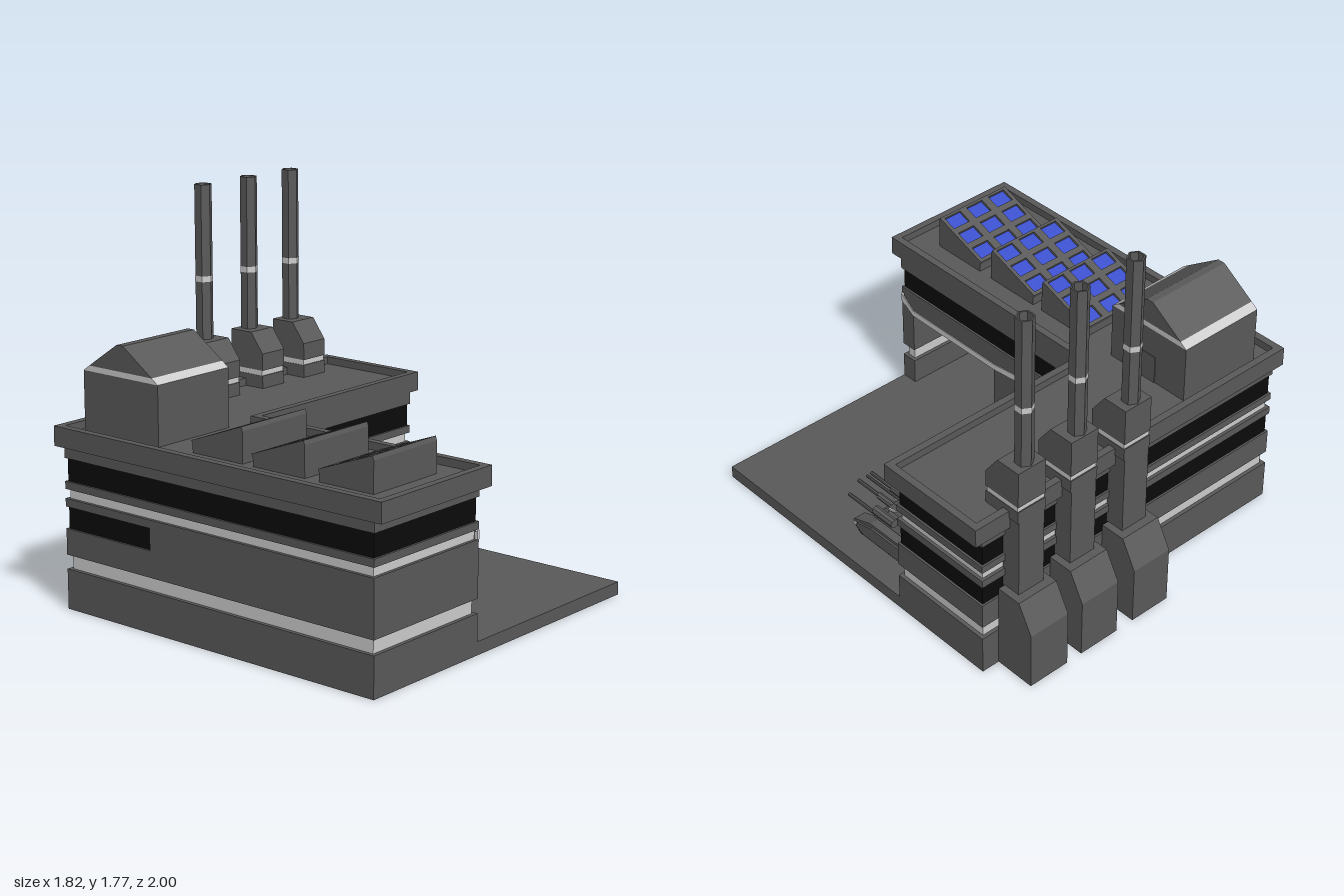
import * as THREE from 'three';

const mat = (color) => new THREE.MeshStandardMaterial({ color, flatShading: true, side: THREE.DoubleSide });
const wall = mat(0x595959), trim = mat(0xcccccc), black = mat(0x0b0b0b), blue = mat(0x3a4fcc);

function add(parent, name, geo, material, x = 0, y = 0, z = 0) {
  const m = new THREE.Mesh(geo, material);
  m.name = name;
  m.position.set(x, y, z);
  parent.add(m);
  return m;
}

// Box given by its lower and upper limits
function box(parent, name, material, x0, x1, y0, y1, z0, z1) {
  return add(parent, name, new THREE.BoxGeometry(x1 - x0, y1 - y0, z1 - z0), material,
    (x0 + x1) / 2, (y0 + y1) / 2, (z0 + z1) / 2);
}

const shapeOf = (pts) => new THREE.Shape(pts.map(([a, b]) => new THREE.Vector2(a, b)));

// Plan outline of [x, z] points raised from y0 to y1
function layer(parent, name, material, pts, y0, y1, hole) {
  const flip = (list) => list.map(([x, z]) => [x, -z]);
  const s = shapeOf(flip(pts));
  if (hole) s.holes.push(shapeOf(flip(hole)));
  const g = new THREE.ExtrudeGeometry(s, { depth: y1 - y0, bevelEnabled: false });
  return add(parent, name, g.rotateX(-Math.PI / 2), material, 0, y0, 0);
}

// Side profile of [z, y] points extended from x0 to x1
function profile(parent, name, material, pts, x0, x1) {
  const g = new THREE.ExtrudeGeometry(shapeOf(pts), { depth: x1 - x0, bevelEnabled: false });
  return add(parent, name, g.rotateY(-Math.PI / 2), material, x1, 0, 0);
}

// L-shaped plan; xi, zi is the inner corner
const ell = (x0, x1, z0, z1, xi, zi) => [[x0, z0], [x1, z0], [x1, zi], [xi, zi], [xi, z1], [x0, z1]];
const body = (d) => ell(-0.88 + d, 0.85 - d, -0.8 + d, 0.94 - d, -0.2 - d, -0.26 - d);
// Same plan with a hangar bay cut into the inner side of the wing
const bay = (d) => {
  const p = body(d);
  p.splice(4, 0, [-0.2 - d, 0.29 - d], [-0.64, 0.29 - d], [-0.64, 0.86 + d], [-0.2 - d, 0.86 + d]);
  return p;
};

function createBuilding() {
  const g = new THREE.Group();
  g.name = 'building';
  box(g, 'groundSlab', wall, -0.88, 0.85, 0, 0.06, -0.8, 0.94);
  layer(g, 'lowerWall', wall, bay(0), 0.06, 0.185);
  layer(g, 'lowerTrim', trim, bay(0.018), 0.185, 0.25);
  layer(g, 'middleWall', wall, bay(0), 0.25, 0.37);
  box(g, 'lowerWindowBand', black, -0.87, 0.84, 0.37, 0.47, -0.79, -0.27);
  const wing = [[-0.88, -0.29], [-0.2, -0.29], ...bay(0).slice(4)];
  layer(g, 'wingWall', wall, wing, 0.37, 0.47);
  layer(g, 'lintelWall', wall, body(0), 0.47, 0.507);
  layer(g, 'upperTrim', trim, body(0.015), 0.507, 0.55);
  layer(g, 'sillWall', wall, body(0), 0.55, 0.585);
  layer(g, 'upperWindowBand', black, body(0.01), 0.585, 0.69);
  layer(g, 'topWall', wall, body(0), 0.69, 0.745);
  // Trim that dips over the hangar bay
  box(g, 'bayFascia', wall, -0.225, -0.2, 0.507, 0.55, -0.26, 0.925);
  profile(g, 'bayTrim', trim, [[0.94, 0.507], [0.94, 0.548], [0.86, 0.485], [0.29, 0.485],
    [-0.26, 0.55], [-0.26, 0.512], [0.29, 0.455], [0.86, 0.455]], -0.21, -0.196);
  // Roof deck and parapet
  const edge = ell(-0.91, 0.91, -0.83, 1.0, -0.197, -0.26);
  layer(g, 'roofDeck', wall, edge, 0.745, 0.8);
  layer(g, 'parapet', wall, edge, 0.8, 0.835, ell(-0.875, 0.875, -0.795, 0.965, -0.232, -0.295));
  return g;
}

function createRoofHouse() {
  const g = new THREE.Group();
  g.name = 'roofHouse';
  const x0 = -0.785, x1 = -0.345;
  box(g, 'houseWalls', wall, x0, x1, 0.8, 1.07, -0.765, -0.32);
  profile(g, 'eavesTrim', trim, [[-0.765, 1.07], [-0.32, 1.07], [-0.355, 1.095], [-0.73, 1.095]], x0, x1);
  profile(g, 'gableRoof', wall, [[-0.73, 1.095], [-0.355, 1.095], [-0.523, 1.21], [-0.56, 1.21]], x0, x1);
  box(g, 'houseDoor', wall, x1 - 0.01, x1 + 0.004, 0.8, 0.935, -0.59, -0.495);
  return g;
}

// Wedge with a 3 x 3 grid of sunken panels on its slope
function createSolarRack(z0) {
  const g = new THREE.Group();
  g.name = 'solarRack';
  const w = 0.405, run = 0.283, rise = 0.105, len = Math.hypot(run, rise), t = 0.02;
  profile(g, 'rackBase', wall, [[0, 0.8], [run, 0.8], [run, 0.835 + rise], [0, 0.835]], -w / 2, w / 2);
  const slope = new THREE.Group();
  slope.name = 'panelSlope';
  const frame = shapeOf([[-w / 2, 0], [w / 2, 0], [w / 2, len], [-w / 2, len]]);
  for (let i = -1; i <= 1; i++) for (let j = 0; j < 3; j++) {
    const x = i * 0.136, y = 0.053 + j * 0.101, a = 0.048, b = 0.035;
    frame.holes.push(shapeOf([[x - a, y - b], [x - a, y + b], [x + a, y + b], [x + a, y - b]]));
    add(slope, 'solarPanel', new THREE.BoxGeometry(2 * a, 2 * b, 0.008), blue, x, y, 0.004);
  }
  add(slope, 'panelFrame', new THREE.ExtrudeGeometry(frame, { depth: t, bevelEnabled: false }), wall);
  // Shape y runs up the slope toward +z, with its face upward
  slope.rotation.set(Math.PI / 2 - Math.atan2(rise, run), Math.PI, 0, 'XYZ');
  slope.position.y = 0.835;
  g.add(slope);
  g.position.set(-0.552, 0, z0);
  return g;
}

function createChimney(x) {
  const g = new THREE.Group();
  g.name = 'chimney';
  profile(g, 'chimneyFoot', wall, [[-0.8, 0], [-1, 0], [-1, 0.28], [-0.925, 0.415], [-0.8, 0.415]], -0.105, 0.105);
  box(g, 'flueDuct', wall, -0.07, 0.07, 0.41, 0.86, -0.885, -0.79);
  box(g, 'headBase', wall, -0.075, 0.075, 0.8, 0.86, -0.885, -0.69);
  box(g, 'headTrim', trim, -0.073, 0.073, 0.86, 0.885, -0.88, -0.695);
  profile(g, 'chimneyHead', wall, [[-0.885, 0.885], [-0.69, 0.885], [-0.69, 0.965], [-0.76, 1.06], [-0.885, 1.06]],
    -0.075, 0.075);
  const pipe = (name, m, r, y0, y1) =>
    add(g, name, new THREE.CylinderGeometry(r, r, y1 - y0, 6, 1, true), m, 0, (y0 + y1) / 2, -0.838);
  pipe('stack', wall, 0.041, 1.05, 1.775);
  pipe('stackLining', wall, 0.033, 1.05, 1.775);
  pipe('stackRing', trim, 0.0425, 1.328, 1.355);
  const rim = add(g, 'stackRim', new THREE.RingGeometry(0.033, 0.041, 6, 1, Math.PI / 2), wall, 0, 1.775, -0.838);
  rim.rotation.x = -Math.PI / 2;
  g.position.x = x;
  return g;
}

function createTank(x) {
  const g = new THREE.Group();
  g.name = 'tank';
  const rod = (name, r, px, py, z0, z1, m = wall) => {
    const c = add(g, name, new THREE.CylinderGeometry(r, r, z1 - z0, 8), m, px, py, (z0 + z1) / 2);
    c.rotation.x = Math.PI / 2;
  };
  const track = [[0.17, 0.065], [0.225, 0.1], [0.215, 0.125], [0.1, 0.165], [-0.17, 0.165],
    [-0.2, 0.145], [-0.205, 0.1], [-0.16, 0.065]];
  profile(g, 'hull', wall, [[0.14, 0.085], [0.17, 0.12], [0.1, 0.175], [-0.19, 0.175], [-0.205, 0.13], [-0.17, 0.085]],
    -0.1, 0.1);
  box(g, 'rearStripe', trim, -0.155, 0.155, 0.15, 0.178, -0.18, -0.168);
  for (const s of [-1, 1]) {
    const at = (a, b) => [Math.min(s * a, s * b), Math.max(s * a, s * b)];
    profile(g, 'track', wall, track, ...at(0.09, 0.15));
    profile(g, 'trackSkirt', wall, track.map(([z, y]) => [z * 0.86, 0.115 + (y - 0.115) * 0.7]), ...at(0.145, 0.16));
    box(g, 'trackStripe', trim, ...at(0.088, 0.153), 0.097, 0.112, -0.204, 0.222);
    // Side gun with its pivot and breech
    rod('sideGun', 0.009, s * 0.132, 0.225, -0.03, 0.265);
    rod('sideGunBreech', 0.022, s * 0.125, 0.24, -0.04, 0.09);
    box(g, 'gunArm', wall, ...at(0.07, 0.125), 0.2, 0.23, -0.01, 0.05);
    rod('mainGun', 0.009, s * 0.038, 0.222, 0.05, 0.315);
    rod('gunSleeve', 0.016, s * 0.038, 0.222, 0.05, 0.17);
    const line = box(g, 'turretStripe', trim, s * 0.06 - 0.004, s * 0.06 + 0.004, 0.235, 0.243, -0.07, 0.06);
    line.rotation.y = s * 0.3;
  }
  rod('centreGun', 0.007, 0, 0.235, 0.05, 0.3);
  // Turret: tapered block with a raised cap
  const taper = (name, w0, w1, d, h, y, z) => {
    const c = new THREE.CylinderGeometry(w1 / w0 * Math.SQRT1_2, Math.SQRT1_2, 1, 4).rotateY(Math.PI / 4);
    add(g, name, c.scale(w0, h, d), wall, 0, y, z);
  };
  taper('turretBase', 0.22, 0.17, 0.25, 0.045, 0.193, 0.0);
  taper('turret', 0.18, 0.11, 0.2, 0.05, 0.235, -0.01);
  taper('turretCap', 0.09, 0.06, 0.1, 0.015, 0.263, -0.015);
  box(g, 'capStripe', trim, -0.035, 0.035, 0.262, 0.268, 0.02, 0.028);
  g.position.x = x;
  return g;
}

export function createModel() {
  const model = new THREE.Group();
  model.name = 'factory';
  model.add(createBuilding(), createRoofHouse());
  for (const z of [-0.15, 0.19, 0.55]) model.add(createSolarRack(z));
  for (const x of [0.057, 0.363, 0.655]) model.add(createChimney(x));
  for (const x of [0.06, 0.56]) model.add(createTank(x));
  return model;
}
